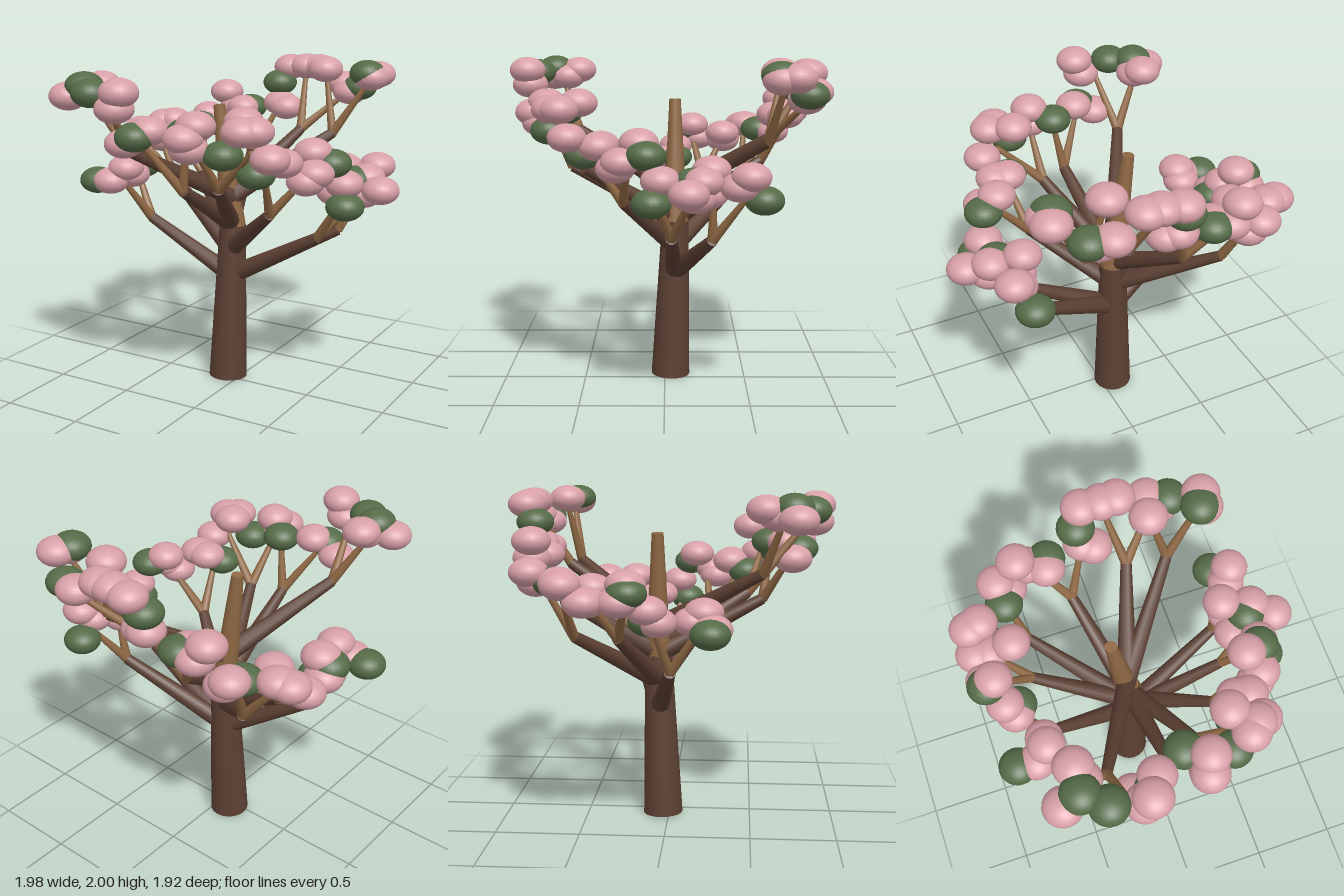
import * as THREE from 'three';

const mat = (name, color) => {
  const m = new THREE.MeshStandardMaterial({ color });
  m.name = name;
  return m;
};

export function createModel() {
  const tree = new THREE.Group();
  tree.name = 'blossomTree';
  const bark = mat('darkBark', 0x5c4033);
  const wood = mat('paleWood', 0x8f6844);
  const pink = mat('pinkBlossom', 0xd8a0a8);
  const green = mat('greenLeaf', 0x556b47);
  const V = (p) => new THREE.Vector3(...p);
  const puff = new THREE.SphereGeometry(1, 24, 16);

  // Tapered limb between two points
  const limb = (parent, name, a, b, r0, r1, material, sides = 10) => {
    const from = V(a), dir = V(b).sub(from), len = dir.length();
    const mesh = new THREE.Mesh(new THREE.CylinderGeometry(r1, r0, len, sides), material);
    mesh.position.copy(from).addScaledVector(dir, 0.5);
    mesh.quaternion.setFromUnitVectors(new THREE.Vector3(0, 1, 0), dir.normalize());
    mesh.name = name;
    parent.add(mesh);
  };

  // Flattened foliage ball
  const ball = (parent, name, p, material) => {
    const mesh = new THREE.Mesh(puff, material);
    mesh.position.set(...p);
    mesh.scale.set(0.111, 0.081, 0.111);
    mesh.name = name;
    parent.add(mesh);
  };

  // Trunk: dark lower part, pale leader leaning sideways
  limb(tree, 'trunk', [-0.081, 0.005, -0.036], [-0.062, 1.0, -0.065], 0.12, 0.082, bark, 20);
  limb(tree, 'trunkCollar', [-0.062, 0.98, -0.065], [-0.075, 1.1, -0.065], 0.082, 0.074, wood, 12);
  limb(tree, 'leader', [-0.075, 1.08, -0.065], [-0.155, 1.74, -0.062], 0.07, 0.035, wood, 12);

  // Branch: dark arm to an elbow, pale twigs to the tips, then foliage
  const tierBase = [0.67, 0.84, 1.01, 1.18];
  const branch = (tier, elbow, tips, pinks, greens) => {
    const g = new THREE.Group();
    g.name = 'branch';
    limb(g, 'arm', [-0.07, tierBase[tier], -0.06], elbow, 0.06, 0.033, bark);
    for (const t of tips) limb(g, 'twig', elbow, t, 0.03, 0.015, wood, 8);
    for (const p of pinks) ball(g, 'blossom', p, pink);
    for (const p of greens) ball(g, 'leafClump', p, green);
    tree.add(g);
  };

  // First tier: left and right
  branch(0, [-0.6, 1.0, 0.04], [[-0.7, 1.28, 0.22], [-0.76, 1.28, -0.04]],
    [[-0.73, 1.27, 0.28], [-0.65, 1.3, 0.17], [-0.65, 1.35, 0.23], [-0.76, 1.31, -0.02], [-0.8, 1.38, -0.07]],
    [[-0.84, 1.26, 0.27], [-0.73, 1.31, -0.07]]);
  branch(0, [0.53, 1.0, -0.04], [[0.72, 1.27, 0.05], [0.76, 1.28, -0.15]],
    [[0.72, 1.36, 0.02], [0.88, 1.31, -0.13], [0.76, 1.36, -0.21], [0.76, 1.27, -0.17], [0.61, 1.28, -0.1]],
    [[0.75, 1.24, 0.07], [0.71, 1.35, -0.16]]);
  branch(0, [0.56, 1.0, -0.27], [[0.61, 1.26, -0.27], [0.67, 1.27, -0.46]],
    [[0.72, 1.38, -0.47], [0.68, 1.32, -0.41], [0.59, 1.4, -0.26], [0.62, 1.27, -0.24]],
    [[0.64, 1.24, -0.55]]);

  // Second tier
  branch(1, [-0.6, 1.19, -0.25], [[-0.82, 1.45, -0.18], [-0.8, 1.42, -0.38]],
    [[-0.82, 1.52, -0.18], [-0.87, 1.43, -0.22], [-0.88, 1.43, -0.4], [-0.66, 1.48, -0.38], [-0.8, 1.42, -0.39]],
    [[-0.87, 1.48, -0.17]]);
  branch(1, [0.36, 1.18, 0.24], [[0.6, 1.45, 0.2], [0.42, 1.45, 0.42]],
    [[0.58, 1.55, 0.14], [0.6, 1.41, 0.27], [0.64, 1.45, 0.24], [0.51, 1.52, 0.37], [0.43, 1.52, 0.36]],
    [[0.68, 1.49, 0.1], [0.39, 1.46, 0.46]]);
  branch(1, [-0.55, 1.19, -0.5], [[-0.8, 1.48, -0.53], [-0.63, 1.5, -0.66]],
    [[-0.8, 1.53, -0.54], [-0.87, 1.52, -0.52], [-0.64, 1.56, -0.73], [-0.58, 1.5, -0.7]],
    [[-0.63, 1.51, -0.61]]);

  // Third tier
  branch(2, [0.16, 1.35, 0.47], [[0.15, 1.62, 0.7], [0.42, 1.6, 0.56]],
    [[0.33, 1.75, 0.49], [0.52, 1.57, 0.54], [0.45, 1.72, 0.59], [0.4, 1.72, 0.64],
      [0.15, 1.74, 0.69], [0.12, 1.68, 0.77], [0.13, 1.62, 0.73]],
    [[0.3, 1.59, 0.66]]);
  branch(2, [-0.02, 1.34, 0.56], [[0.03, 1.64, 0.6], [-0.18, 1.62, 0.72]],
    [[-0.15, 1.69, 0.69], [-0.3, 1.61, 0.72]],
    [[0.03, 1.68, 0.6], [-0.2, 1.66, 0.76]]);
  branch(2, [-0.23, 1.35, -0.6], [[-0.42, 1.62, -0.74], [-0.1, 1.66, -0.76]],
    [[-0.5, 1.72, -0.74], [-0.43, 1.62, -0.75], [-0.34, 1.63, -0.69], [-0.04, 1.65, -0.73], [-0.1, 1.67, -0.76]],
    [[-0.32, 1.63, -0.75], [-0.12, 1.8, -0.79]]);

  // Fourth tier: highest clusters
  branch(3, [-0.39, 1.53, 0.55], [[-0.57, 1.85, 0.66], [-0.34, 1.83, 0.8]],
    [[-0.23, 1.91, 0.85], [-0.27, 1.82, 0.84], [-0.67, 1.85, 0.73], [-0.56, 1.9, 0.56], [-0.54, 1.86, 0.63]],
    [[-0.57, 1.91, 0.71], [-0.45, 1.89, 0.81]]);
  branch(3, [0.36, 1.53, -0.59], [[0.28, 1.87, -0.66], [0.57, 1.86, -0.66]],
    [[0.27, 1.92, -0.66], [0.6, 1.9, -0.72], [0.59, 1.89, -0.64]],
    [[0.565, 1.912, -0.635]]);
  branch(3, [0.12, 1.53, -0.62], [[0.05, 1.86, -0.83], [0.35, 1.76, -0.82]],
    [[-0.07, 1.9, -0.85], [0.05, 1.91, -0.84], [0.14, 1.91, -0.84], [0.32, 1.81, -0.85], [0.38, 1.77, -0.8]],
    [[0.44, 1.8, -0.81]]);

  return tree;
}
